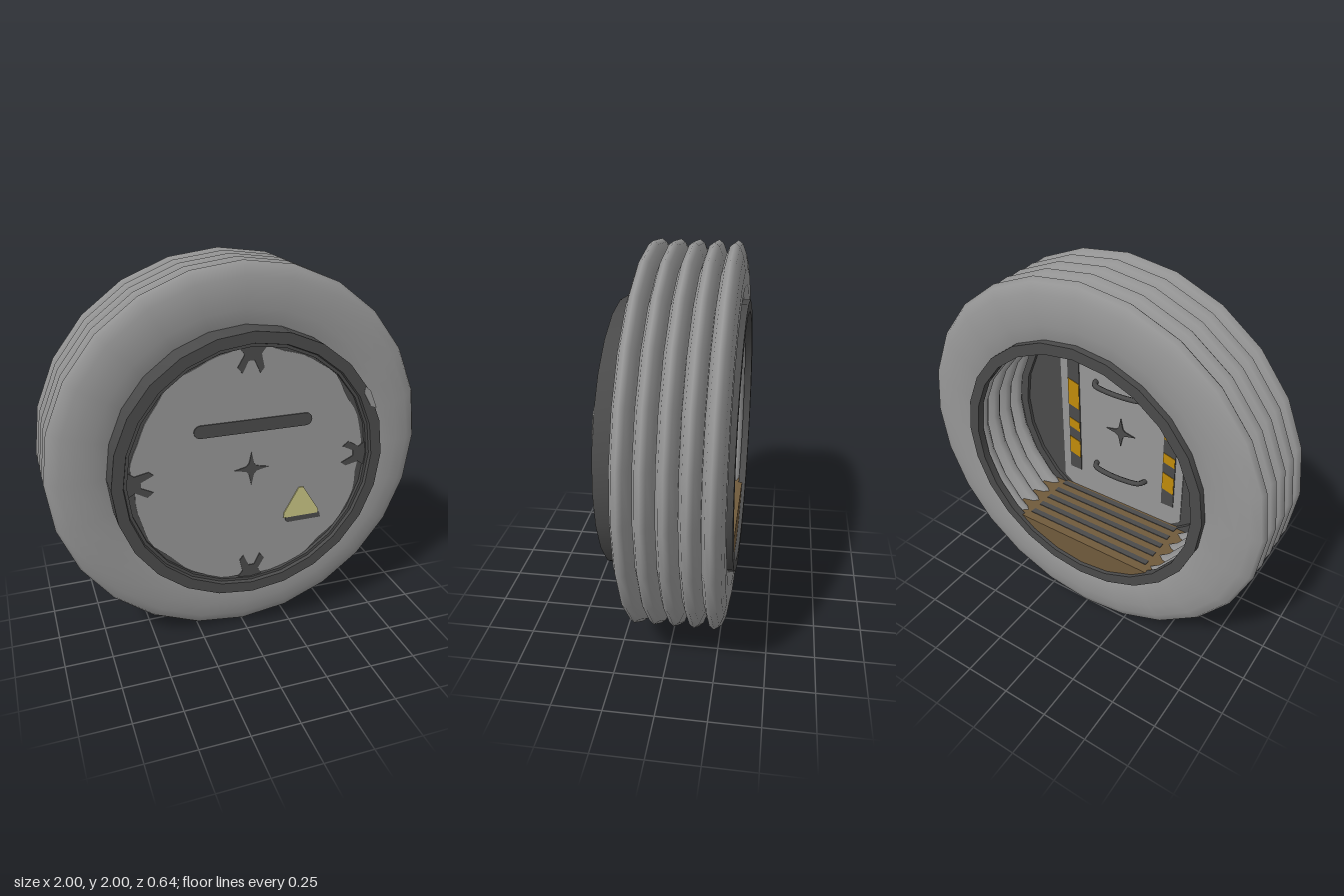
import * as THREE from 'three';
import { toCreasedNormals } from 'three/addons/utils/BufferGeometryUtils.js';

export function createModel() {
  const model = new THREE.Group();
  const mat = (name, color) => {
    const m = new THREE.MeshStandardMaterial({ color });
    m.name = name;
    return m;
  };
  const grey = mat('grey', 0x969696);
  const dark = mat('darkGrey', 0x4a4a4a);
  const yellow = mat('paleYellow', 0xc8c484);
  const amber = mat('amber', 0xc08a0a);
  const brown = mat('brown', 0x705a3c);

  const CY = 1; // height of the wheel axis
  const add = (name, geo, material, x = 0, y = 0, z = 0) => {
    const m = new THREE.Mesh(geo, material);
    m.name = name;
    m.position.set(x, CY + y, z);
    model.add(m);
    return m;
  };
  const polygon = (pts) => new THREE.Shape(pts.map(([x, y]) => new THREE.Vector2(x, y)));
  const plate = (shape, depth = 0.006) =>
    new THREE.ExtrudeGeometry(shape, { depth, bevelEnabled: false, curveSegments: 8 });

  // Closed ring turned around the z axis, profile given as [radius, z]
  const ring = (name, profile) => {
    const pts = [...profile, profile[0]].map(([r, z]) => new THREE.Vector2(r, z));
    const geo = new THREE.LatheGeometry(pts, 24).rotateX(Math.PI / 2);
    geo.deleteAttribute('uv');
    add(name, toCreasedNormals(geo, 0.6), dark);
  };

  // Five bellows rolls
  for (let i = 0; i < 5; i++) {
    const geo = new THREE.TorusGeometry(0.825, 0.175, 14, 24).scale(1, 1, 0.055 / 0.175);
    add('bellowsRoll', geo, grey, 0, 0, 0.145 - i * 0.0975);
  }

  // Front collar with a stepped inner rim, and the back lip
  ring('frontCollar', [[0.707, 0.08], [0.707, 0.318], [0.65, 0.318], [0.645, 0.3], [0.63, 0.3], [0.63, 0.08]]);
  ring('backLip', [[0.707, -0.28], [0.707, -0.32], [0.65, -0.32], [0.65, -0.28]].reverse());

  // Door core
  add('doorCore', new THREE.CylinderGeometry(0.635, 0.635, 0.18, 24).rotateX(Math.PI / 2), dark, 0, 0, 0.19);

  // Front door skin with a worn, uneven edge
  const skin = [];
  for (let i = 0; i < 72; i++) {
    const a = (i / 72) * Math.PI * 2;
    const r = 0.598 + 0.025 * Math.abs(Math.sin(a)) + 0.008 * Math.sin(9 * a) + 0.005 * Math.sin(17 * a + 1);
    skin.push([r * Math.cos(a), r * Math.sin(a)]);
  }
  add('doorFrontSkin', plate(polygon(skin)), grey, 0, 0, 0.28);

  // Worn four-pointed mark at the centre, front and back
  const star = [];
  for (let i = 0; i < 24; i++) {
    const a = (i / 24) * Math.PI * 2;
    const r = 0.03 + 0.06 * Math.pow(Math.abs(Math.cos(2 * a)), 3) * (Math.cos(4 * a) > 0 ? 1 : 0) * (i % 6 === 0 ? 1 : 0.3);
    star.push([r * Math.cos(a), r * Math.sin(a)]);
  }
  add('centreMark', plate(polygon(star)), dark, 0, 0, 0.285);
  add('innerCentreMark', plate(polygon(star)), dark, 0, 0, 0.089);

  // Claw-shaped wear at the four edges
  const claw = [[-0.07, 0.635], [-0.04, 0.59], [-0.075, 0.53], [-0.05, 0.5], [-0.02, 0.56], [0.01, 0.56],
    [0.04, 0.495], [0.06, 0.52], [0.045, 0.59], [0.08, 0.635]].reverse();
  for (let i = 0; i < 4; i++) {
    add('edgeWear', plate(polygon(claw)), dark, 0, 0, 0.285).rotation.z = (i * Math.PI) / 2;
  }

  // Rounded slot across the front
  const slot = new THREE.Shape();
  slot.absarc(0.285, 0, 0.033, -Math.PI / 2, Math.PI / 2);
  slot.absarc(-0.26, 0, 0.033, Math.PI / 2, Math.PI * 1.5);
  add('frontSlot', plate(slot), dark, 0, 0.23, 0.286);

  // Warning triangle over its dark backing
  add('triangleBacking', plate(polygon([[0.2, -0.34], [0.39, -0.34], [0.385, -0.315], [0.29, -0.17], [0.19, -0.32]])), dark, 0, 0, 0.285);
  add('warningTriangle', plate(polygon([[0.18, -0.31], [0.37, -0.31], [0.375, -0.29], [0.285, -0.145], [0.26, -0.145], [0.18, -0.285]])), yellow, 0, 0, 0.288);

  // Chipped paint on the collar
  add('collarChip', plate(polygon([[0.59, 0.375], [0.585, 0.34], [0.625, 0.27], [0.66, 0.255], [0.62, 0.35]]), 0.004), grey, 0, 0, 0.316);

  // Inner door skin, a disc cut off at both sides
  const back = [];
  const cut = Math.acos(0.39 / 0.6);
  for (const start of [cut, Math.PI + cut]) {
    for (let i = 0; i <= 10; i++) {
      const a = start + (i / 10) * (Math.PI - 2 * cut);
      back.push([0.6 * Math.cos(a), 0.6 * Math.sin(a)]);
    }
  }
  add('doorInnerSkin', plate(polygon(back)), grey, 0, 0, 0.095);

  // Hazard strips and grab handles inside the door
  const bands = [[0.05, 0.235], [-0.1, -0.02], [-0.28, -0.15]];
  for (const side of [-1, 1]) {
    const x = side * 0.305;
    add('hazardStrip', new THREE.BoxGeometry(0.075, 0.78, 0.006), dark, x, 0.02, 0.093);
    for (const [lo, hi] of bands) {
      const band = polygon([[-0.035, lo], [0.035, lo + 0.02], [0.035, hi], [-0.035, hi - 0.02]]);
      add('hazardBand', plate(band), amber, x, 0, 0.087);
    }
    const path = new THREE.CatmullRomCurve3([
      [-0.16, 0.1], [-0.145, 0.06], [-0.07, 0.04], [0.07, 0.04], [0.145, 0.06], [0.16, 0.1],
    ].map(([px, pz]) => new THREE.Vector3(px, 0, pz)));
    add('grabHandle', new THREE.TubeGeometry(path, 20, 0.015, 6), dark, 0, side * 0.27, 0);
  }

  // Floor filling the bottom of the passage, with dark tread stripes
  const floor = new THREE.Shape();
  const a = Math.asin(0.5 / 0.7);
  floor.absarc(0, 0, 0.7, Math.PI + a, Math.PI * 2 - a);
  floor.closePath();
  add('floor', plate(floor, 0.395), brown, 0, 0, -0.3);
  for (let i = 0; i < 5; i++) {
    add('floorStripe', new THREE.BoxGeometry(0.76, 0.006, 0.032), dark, 0, -0.499, -0.235 + i * 0.075);
  }
  return model;
}
